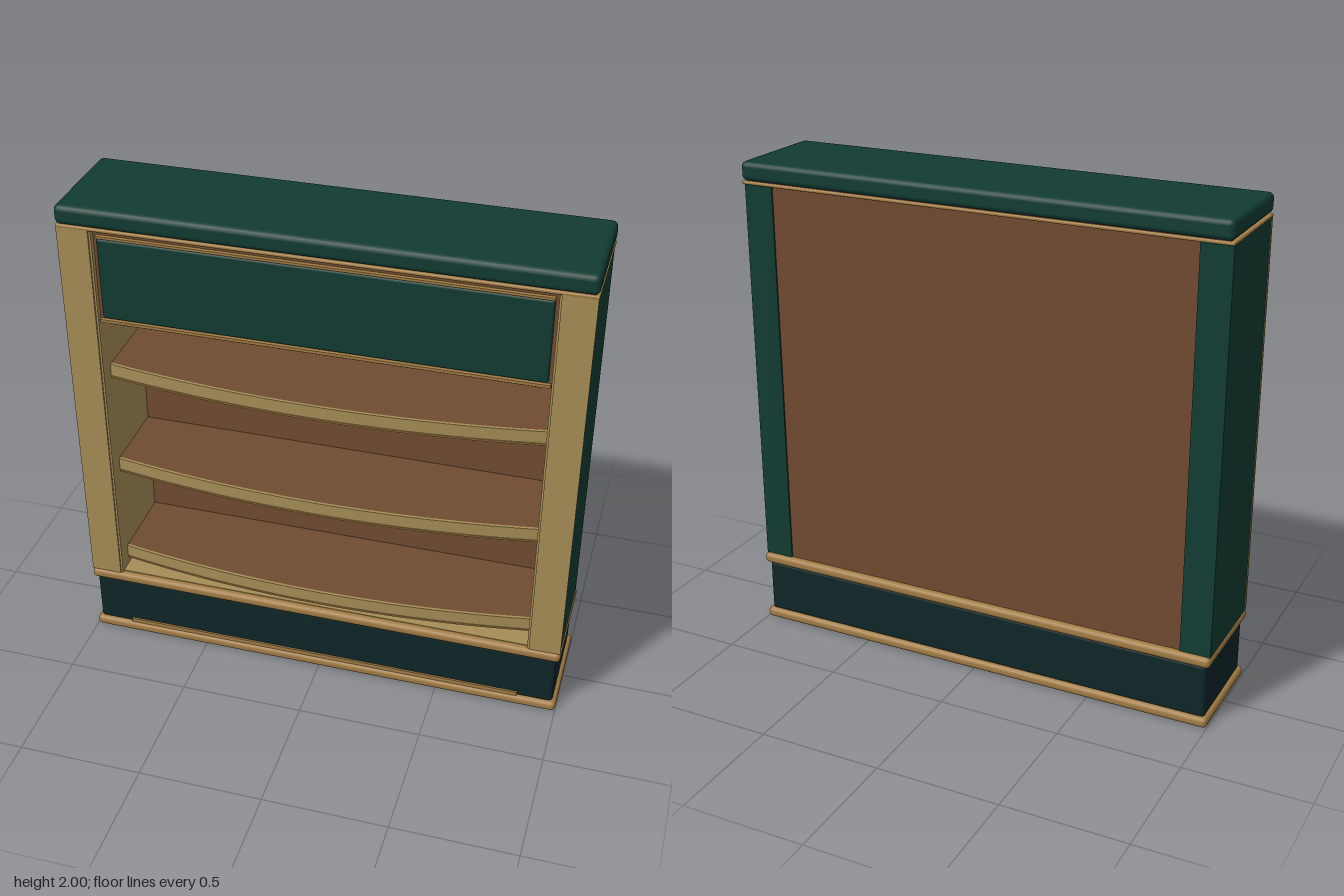
import * as THREE from 'three';
import { RoundedBoxGeometry } from 'three/addons/geometries/RoundedBoxGeometry.js';

const mat = (name, color) => {
  const m = new THREE.MeshStandardMaterial({ color });
  m.name = name;
  return m;
};

export function createModel() {
  const group = new THREE.Group();
  group.name = 'bookcase';
  const green = mat('dark green', 0x113c33);
  const navy = mat('blue black', 0x0e2528);
  const tan = mat('light oak', 0xa68e57);
  const gold = mat('gold trim', 0xa37d45);
  const brown = mat('brown wood', 0x714b31);

  const add = (name, geometry, material) => {
    const mesh = new THREE.Mesh(geometry, material);
    mesh.name = name;
    group.add(mesh);
    return mesh;
  };
  // Box given by its limits; a radius rounds its edges
  const box = (name, material, [x0, x1], [y0, y1], [z0, z1], r = 0) => {
    const s = [x1 - x0, y1 - y0, z1 - z0];
    const g = r ? new RoundedBoxGeometry(...s, 2, r) : new THREE.BoxGeometry(...s);
    g.translate((x0 + x1) / 2, (y0 + y1) / 2, (z0 + z1) / 2);
    return add(name, g, material);
  };

  // Base and its mouldings
  box('footMoulding', gold, [-1, 1], [0, 0.042], [-0.227, 0.227], 0.017);
  box('plinth', navy, [-0.985, 0.985], [0.035, 0.265], [-0.21, 0.21], 0.016);
  box('plinthLine', gold, [-0.84, 0.84], [0.042, 0.06], [0.2, 0.218]);
  box('baseMoulding', gold, [-1, 1], [0.262, 0.305], [-0.227, 0.227], 0.017);
  box('floor', tan, [-0.87, 0.87], [0.295, 0.308], [-0.19, 0.2]);

  // Side posts: green outside, oak on the front and inside
  for (const s of [-1, 1]) {
    const span = (a, b) => (s > 0 ? [a, b] : [-b, -a]);
    box('sidePanel', green, span(0.873, 0.996), [0.303, 1.915], [-0.207, 0.207]);
    box('postFace', tan, span(0.872, 0.998), [0.306, 1.912], [0.207, 0.219]);
    box('innerLining', tan, span(0.864, 0.873), [0.303, 1.915], [-0.18, 0.212]);
  }

  // Back panel
  box('backPanel', brown, [-0.873, 0.873], [0.3, 1.915], [-0.2, -0.172]);

  // Header compartment with framed green fascia
  box('headerBox', brown, [-0.864, 0.864], [1.518, 1.915], [-0.172, 0.19]);
  box('headerFrameTop', gold, [-0.85, 0.85], [1.876, 1.886], [0.18, 0.206]);
  box('headerFrameBottom', gold, [-0.86, 0.86], [1.522, 1.534], [0.18, 0.206]);
  box('headerUnderStrip', gold, [-0.82, 0.82], [1.508, 1.518], [0.15, 0.185]);
  box('headerPanel', green, [-0.85, 0.85], [1.537, 1.873], [0.17, 0.202], 0.01);

  // Bowed shelves with an oak edge band
  const bow = (end, mid) => Array.from({ length: 25 }, (_, i) => {
    const t = i / 12 - 1;
    return new THREE.Vector2(t * 0.864, -(mid - (mid - end) * t * t));
  });
  const slab = (name, points, y0, y1, material) => {
    const g = new THREE.ExtrudeGeometry(new THREE.Shape(points), { depth: y1 - y0, bevelEnabled: false });
    g.rotateX(-Math.PI / 2);
    g.translate(0, y0, 0);
    add(name, g, material);
  };
  const inner = bow(0.135, 0.21);
  const outer = bow(0.147, 0.222);
  for (const top of [0.4, 0.85, 1.3]) {
    const board = [...inner, new THREE.Vector2(0.864, 0.172), new THREE.Vector2(-0.864, 0.172)];
    slab('shelf', board, top - 0.062, top, brown);
    slab('shelfEdge', [...outer, ...[...inner].reverse()], top - 0.052, top, tan);
    slab('shelfBead', [...outer, ...[...inner].reverse()], top - 0.062, top - 0.055, gold);
  }

  // Crown
  box('crownMoulding', gold, [-1, 1], [1.908, 1.922], [-0.22, 0.22], 0.006);
  box('crownNeck', brown, [-0.985, 0.985], [1.918, 1.932], [-0.21, 0.21]);
  box('crown', green, [-1, 1], [1.923, 2], [-0.228, 0.228], 0.022);

  return group;
}
